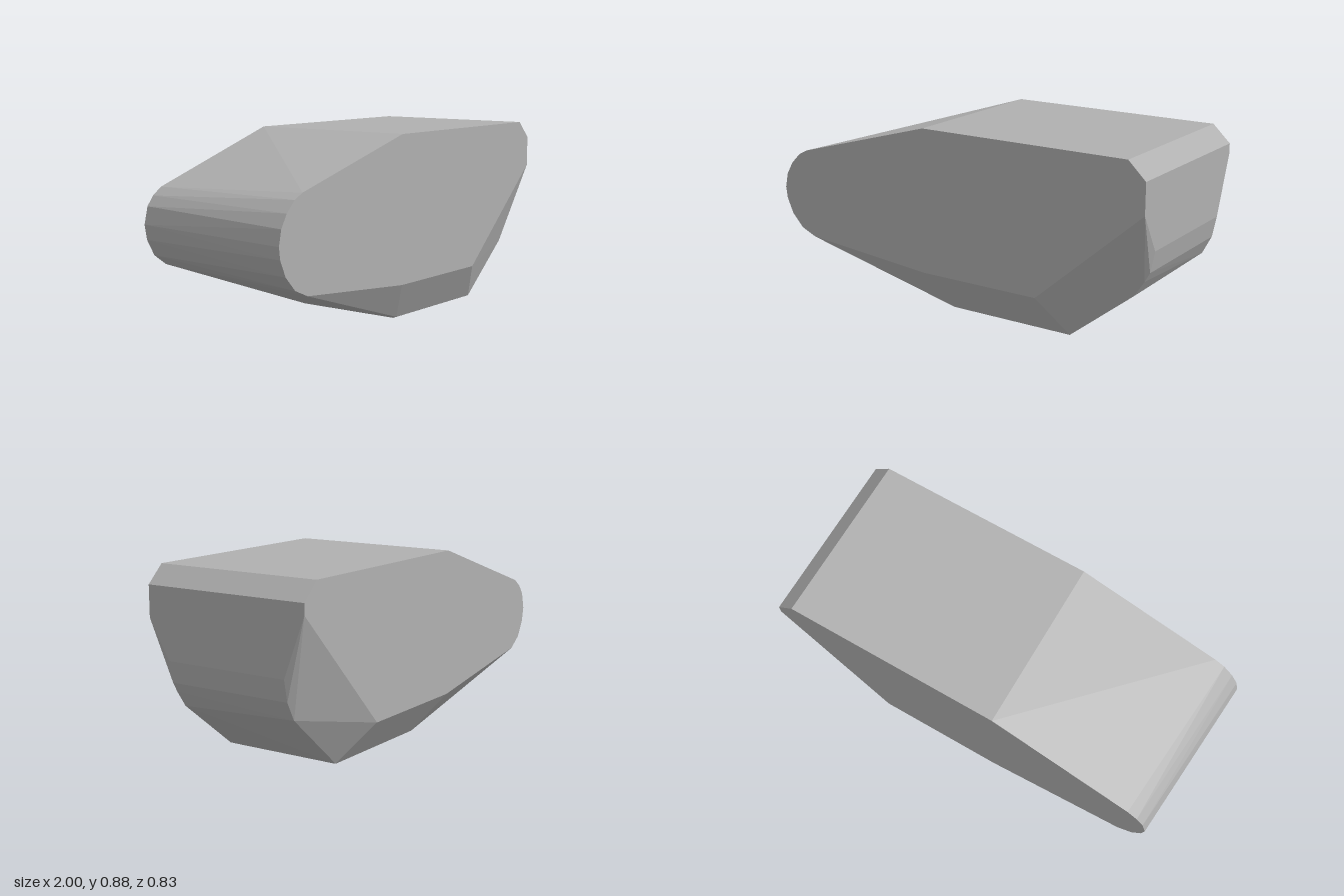
import * as THREE from 'three';
import { ConvexGeometry } from 'three/addons/geometries/ConvexGeometry.js';

export function createModel() {
  const group = new THREE.Group();
  const stone = new THREE.MeshStandardMaterial({ color: 0xb0b0b0 });
  const points = [];
  const addOutline = (z, outline) => {
    for (const [x, y] of outline) points.push(new THREE.Vector3(x, y, z));
  };

  // Corners shared by the front and back faces
  const shared = [[-0.14, 0.882], [0.915, 0.882], [1, 0.8], [0.47, 0.19], [-0.14, 0.19]];

  // Front face with its rounded end
  addOutline(0.415, [...shared, [1, 0.655], [-0.82, 0.25], [-0.9, 0.285], [-0.96, 0.35],
    [-0.993, 0.425], [-1, 0.48], [-0.985, 0.55], [-0.95, 0.61], [-0.9, 0.66], [-0.85, 0.685]]);

  // Back face, slightly narrower at the rounded end
  addOutline(-0.415, [...shared, [1, 0.75], [-0.82, 0.295], [-0.89, 0.345], [-0.932, 0.42],
    [-0.945, 0.49], [-0.925, 0.57], [-0.89, 0.615], [-0.84, 0.65]]);

  // Curved lower edge of the blunt end
  const bluntEnd = [[1, 0.475], [0.98, 0.375]];
  addOutline(0.31, [...bluntEnd, [0.955, 0.33], [0.905, 0.255]]);
  addOutline(-0.31, [...bluntEnd, [0.935, 0.288]]);

  // Underside with a small bevelled rim
  addOutline(0.315, [[-0.04, 0.01], [0.595, 0.01]]);
  addOutline(0.29, [[-0.03, 0], [0.57, 0]]);
  addOutline(-0.25, [[-0.03, 0], [0.57, 0]]);
  addOutline(-0.28, [[-0.04, 0.01], [0.595, 0.01]]);

  const boulder = new THREE.Mesh(new ConvexGeometry(points), stone);
  boulder.name = 'boulder';
  group.add(boulder);
  return group;
}
